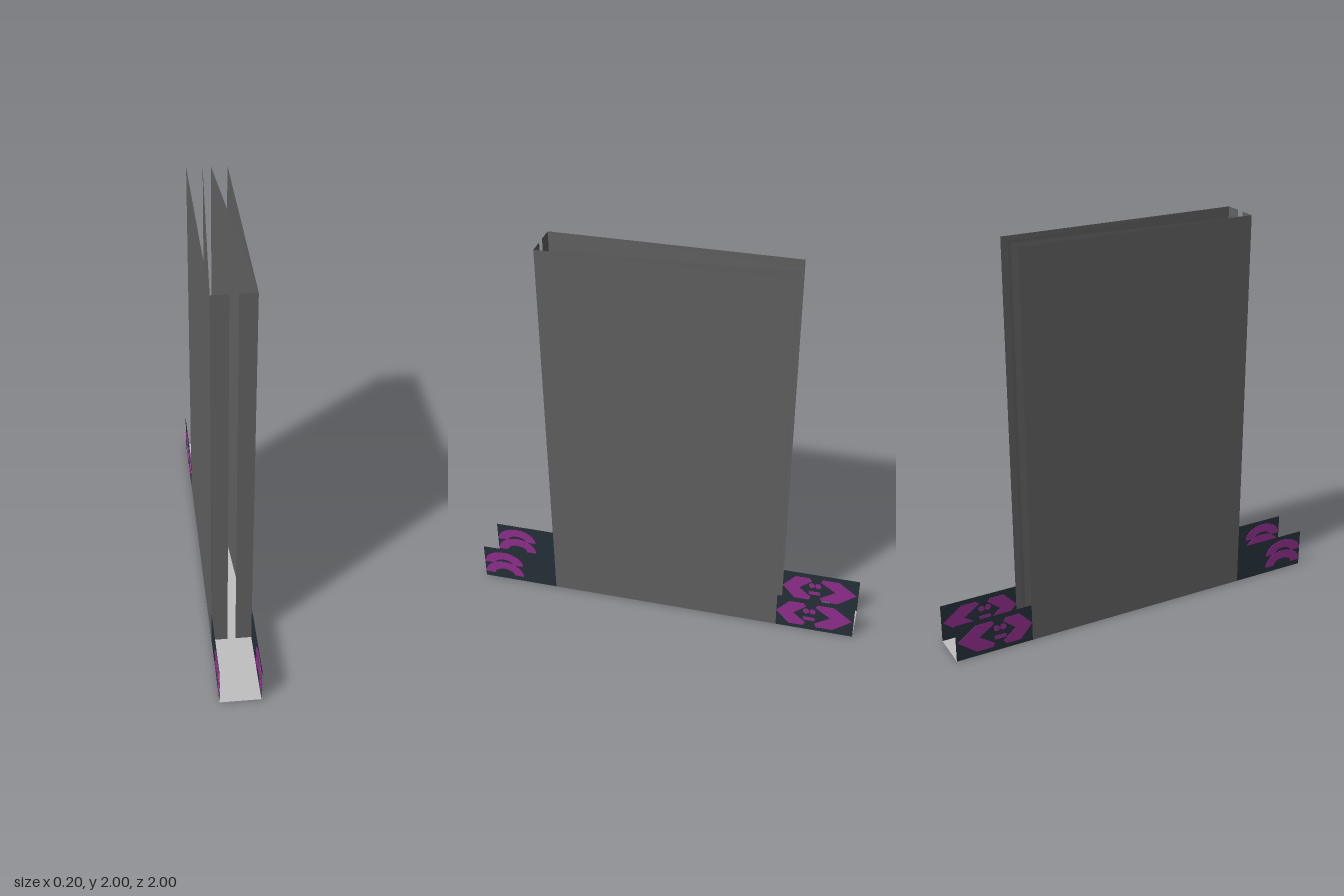
import * as THREE from 'three';

const mat = (name, color) => {
  const m = new THREE.MeshStandardMaterial({ color, side: THREE.DoubleSide });
  m.name = name;
  return m;
};

export function createModel() {
  const model = new THREE.Group();
  const panelGrey = mat('panel grey', 0x626262);
  const floorGrey = mat('floor grey', 0xc0c0c0);
  const navy = mat('dark navy', 0x26313a);
  const magenta = mat('magenta', 0x932f8e);

  const add = (name, geometry, material, x = 0, y = 0, z = 0, ry = 0) => {
    const mesh = new THREE.Mesh(geometry, material);
    mesh.name = name;
    mesh.position.set(x, y, z);
    mesh.rotation.y = ry;
    model.add(mesh);
    return mesh;
  };
  const polygon = pts => new THREE.Shape(pts.map(p => new THREE.Vector2(...p)));

  // Floor plate
  add('floor', new THREE.PlaneGeometry(0.2, 2).rotateX(-Math.PI / 2), floorGrey);

  // Painted ornaments, drawn with z along the shape's x and height along its y
  const chevrons = [
    polygon([[-0.6, 0.1], [-0.665, 0.172], [-0.74, 0.172], [-0.752, 0.155], [-0.687, 0.1],
      [-0.752, 0.045], [-0.74, 0.025], [-0.665, 0.025]]),
    polygon([[-0.99, 0.1], [-0.895, 0.172], [-0.81, 0.172], [-0.8, 0.155], [-0.88, 0.1],
      [-0.8, 0.045], [-0.81, 0.025], [-0.895, 0.025]]),
    polygon([[-0.74, 0.064], [-0.8, 0.064], [-0.8, 0.084], [-0.74, 0.084]]),
  ];
  for (const z of [-0.753, -0.787]) {
    const dot = new THREE.Shape();
    dot.absarc(z, 0.125, 0.016, 0, Math.PI * 2);
    chevrons.push(dot);
  }
  const arch = (cy, ro, ho, ri, hi) => {
    const s = new THREE.Shape();
    s.absellipse(0.89, cy, ro, ho, 0, Math.PI, false);
    s.absellipse(0.89, cy, ri, hi, Math.PI, 0, true);
    return s;
  };
  const arches = [arch(0.1, 0.108, 0.076, 0.05, 0.03), arch(0.03, 0.108, 0.082, 0.055, 0.035)];
  const ornament = shapes => new THREE.ExtrudeGeometry(shapes,
    { depth: 0.004, bevelEnabled: false, curveSegments: 10 });

  for (const s of [-1, 1]) {
    const side = s > 0 ? 'left' : 'right';
    // Tall outer panel, front cap and slanted inner wall
    add(side + 'Panel', new THREE.PlaneGeometry(1.2, 2), panelGrey, s * 0.1, 1, 0, s * Math.PI / 2);
    add(side + 'FrontCap', new THREE.PlaneGeometry(0.08, 2), panelGrey, s * 0.06, 1, 0.6);
    add(side + 'InnerWall', new THREE.PlaneGeometry(Math.hypot(0.08, 1.2), 2), panelGrey,
      s * 0.06, 1, 0, -s * Math.atan2(1.2, 0.08));

    // Low side rails with ornaments at both ends
    for (const e of [-1, 1]) {
      const end = e > 0 ? 'Front' : 'Back';
      add(side + end + 'Rail', new THREE.PlaneGeometry(0.4, 0.2), navy,
        s * 0.1, 0.1, e * 0.8, s * Math.PI / 2);
      add(side + end + 'Ornament', ornament(e > 0 ? arches : chevrons), magenta,
        s * 0.1 + 0.002, 0, 0, -Math.PI / 2);
    }
  }

  // Small post standing in the channel
  add('post', new THREE.BoxGeometry(0.04, 0.1, 0.04), panelGrey, 0, 0.05, -0.84);
  return model;
}
